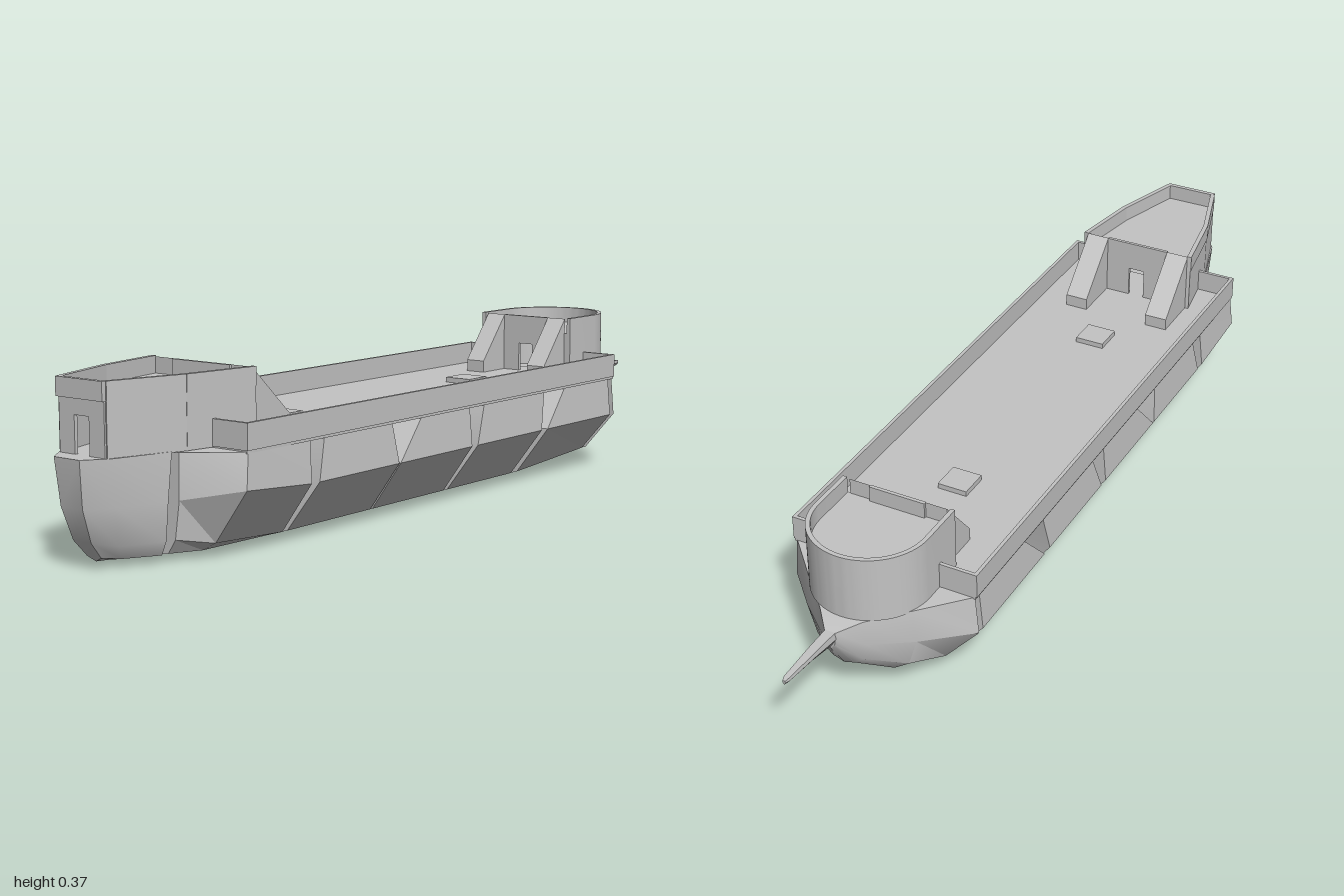
import * as THREE from 'three';
import { toCreasedNormals } from 'three/addons/utils/BufferGeometryUtils.js';

const grey = new THREE.MeshStandardMaterial({ color: 0xc4c4c4 });
grey.name = 'plain grey';

function add(parent, name, geometry) {
  const mesh = new THREE.Mesh(geometry, grey);
  mesh.name = name;
  parent.add(mesh);
  return mesh;
}

function box(parent, name, x0, x1, y0, y1, z0, z1) {
  const g = new THREE.BoxGeometry(x1 - x0, y1 - y0, z1 - z0);
  g.translate((x0 + x1) / 2, (y0 + y1) / 2, (z0 + z1) / 2);
  return add(parent, name, g);
}

// Closed solid through mirrored half sections [x, y, z], top edge to keel, front to back
function loft(halfRings, crease = 0.3) {
  const rings = halfRings.map(h => [...h, ...h.slice(0, -1).reverse().map(([x, y, z]) => [-x, y, z])]);
  const n = rings[0].length, pos = [];
  const quad = (a, b, c, d) => [a, b, c, a, c, d].forEach(p => pos.push(...p));
  for (let i = 0; i + 1 < rings.length; i++) {
    for (let j = 0; j < n; j++) {
      const k = (j + 1) % n;
      quad(rings[i][j], rings[i][k], rings[i + 1][k], rings[i + 1][j]);
    }
  }
  const f = rings[0], r = rings[rings.length - 1];
  for (let j = 0; j < (n - 1) / 2; j++) {
    const m = n - 1 - j;
    quad(f[j], f[m], f[m - 1], f[j + 1]);
    quad(r[j], r[j + 1], r[m - 1], r[m]);
  }
  const g = new THREE.BufferGeometry();
  g.setAttribute('position', new THREE.Float32BufferAttribute(pos, 3));
  g.computeVertexNormals();
  return toCreasedNormals(g, crease);
}

// Upright wall between two [x, z] points, with an optional doorway in the middle
function wall(parent, name, [xa, za], [xb, zb], y0, y1, door = 0, doorTop = 0, t = 0.008) {
  const len = Math.hypot(xb - xa, zb - za), m = len / 2;
  const pts = [[0, y0]];
  if (door) pts.push([m - door, y0], [m - door, doorTop], [m + door, doorTop], [m + door, y0]);
  pts.push([len, y0], [len, y1], [0, y1]);
  const shape = new THREE.Shape(pts.map(p => new THREE.Vector2(...p)));
  const g = new THREE.ExtrudeGeometry(shape, { depth: t, bevelEnabled: false });
  g.translate(0, 0, -t / 2);
  const mesh = add(parent, name, g);
  mesh.position.set(xa, 0, za);
  mesh.rotation.y = Math.atan2(za - zb, xb - xa);
}

// Plan shape (x, -z) raised from y0 to y1
function raised(shape, y0, y1) {
  const g = new THREE.ExtrudeGeometry(shape, { depth: y1 - y0, bevelEnabled: false, curveSegments: 28 });
  g.rotateX(-Math.PI / 2).translate(0, y0, 0);
  return toCreasedNormals(g, 0.5);
}

// Pair of sloping stair blocks, running from a cabin wall down to the deck
function ramps(parent, name, zTop, zFoot, yTop, xIn, xOut) {
  const shape = new THREE.Shape([[zTop, 0.23], [zFoot, 0.23], [zFoot, 0.26], [zTop, yTop]]
    .map(p => new THREE.Vector2(...p)));
  for (const x of [xOut, -xIn]) {
    const g = new THREE.ExtrudeGeometry(shape, { depth: xOut - xIn, bevelEnabled: false });
    g.rotateY(-Math.PI / 2);
    add(parent, name, g).position.x = x;
  }
}

export function createModel() {
  const ship = new THREE.Group();
  ship.name = 'ship';

  // Hull: separate blocks with slanted gaps between them
  const hull = new THREE.Group();
  hull.name = 'hull';
  ship.add(hull);
  const mid = [[0.212, 0.225], [0.22, 0.135], [0.14, 0.025], [0.1, 0.013], [0, 0.003]];
  const at = (zs, section = mid) => section.map(([x, y], i) => [x, y, zs[Math.min(i, zs.length - 1)]]);

  add(hull, 'bowBlock', loft([
    [[0.035, 0.228, 1], [0.03, 0.13, 0.99], [0.025, 0.06, 0.965], [0.02, 0.025, 0.935], [0, 0.015, 0.93]],
    [[0.072, 0.228, 0.95], [0.067, 0.13, 0.94], [0.055, 0.05, 0.92], [0.04, 0.02, 0.9], [0, 0.012, 0.895]],
    [[0.107, 0.228, 0.825], [0.105, 0.13, 0.835], [0.095, 0.05, 0.832], [0.08, 0.02, 0.83], [0, 0.01, 0.83]],
  ], 0.6));
  add(hull, 'shoulderBlock', loft([
    at([0.812], [[0.113, 0.225], [0.112, 0.13], [0.1, 0.05], [0.08, 0.02], [0, 0.008]]),
    at([0.725, 0.735], [[0.215, 0.225], [0.22, 0.15], [0.135, 0.035], [0.1, 0.016], [0, 0.005]]),
    at([0.535, 0.54]),
  ]));
  const blocks = [
    [[0.49, 0.515, 0.525], [0.265, 0.25]],
    [[0.16, 0.245, 0.243], [-0.018]],
    [[-0.075, -0.04, -0.032], [-0.32, -0.3, -0.29]],
  ];
  for (const [front, back] of blocks) add(hull, 'middleBlock', loft([at(front), at(back)]));
  const lifted = [[0.212, 0.225], [0.22, 0.135], [0.14, 0.043], [0.1, 0.032], [0, 0.024]];
  add(hull, 'quarterBlock', loft([at([-0.41, -0.325, -0.315]), at([-0.605], lifted)]));
  add(hull, 'sternBlock', loft([
    at([-0.622], lifted),
    at([-0.72], [[0.12, 0.225], [0.13, 0.15], [0.11, 0.085], [0.075, 0.06], [0, 0.048]]),
    at([-0.79], [[0.05, 0.222], [0.055, 0.165], [0.045, 0.125], [0.025, 0.108], [0, 0.1]]),
    at([-0.835], [[0.012, 0.212], [0.012, 0.198], [0.01, 0.183], [0.006, 0.176], [0, 0.17]]),
  ], 0.6));
  add(hull, 'tailSpike', loft([
    at([-0.82], [[0.012, 0.212], [0.014, 0.195], [0, 0.172]]),
    at([-0.9], [[0.01, 0.214], [0.011, 0.203], [0, 0.188]]),
    at([-0.99], [[0.006, 0.215], [0.007, 0.208], [0, 0.2]]),
    at([-1], [[0.003, 0.213], [0.003, 0.208], [0, 0.203]]),
  ]));

  // Main deck and its bulwarks
  box(ship, 'mainDeck', -0.215, 0.215, 0.222, 0.232, -0.625, 0.728);
  for (const s of [-1, 1]) {
    box(ship, 'sideBulwark', s * 0.214 - 0.004, s * 0.214 + 0.004, 0.228, 0.283, -0.625, 0.73);
    const [a, b] = s > 0 ? [0.124, 0.218] : [-0.218, -0.124];
    box(ship, 'frontBulwark', a, b, 0.228, 0.283, 0.722, 0.73);
    box(ship, 'rearBulwark', a, b, 0.228, 0.283, -0.625, -0.617);
  }
  for (const z of [0.385, -0.3]) box(ship, 'hatch', -0.035, 0.035, 0.232, 0.244, z - 0.035, z + 0.035);

  // Forecastle cabin: tapered walls, raised floor and rail
  const fore = new THREE.Group();
  fore.name = 'forecastle';
  ship.add(fore);
  const plan = [[0.14, 0.62], [0.112, 0.79], [0.062, 0.955]];
  for (const s of [-1, 1]) {
    for (let i = 0; i < 2; i++) {
      const a = [s * plan[i][0], plan[i][1]], b = [s * plan[i + 1][0], plan[i + 1][1]];
      wall(fore, 'sideWall', a, b, 0.226, 0.34);
      wall(fore, 'sideRail', a, b, 0.338, 0.377, 0, 0, 0.011);
    }
  }
  wall(fore, 'frontWall', [-0.062, 0.955], [0.062, 0.955], 0.226, 0.34, 0.02, 0.305);
  wall(fore, 'frontRail', [-0.064, 0.96], [0.064, 0.96], 0.338, 0.377, 0, 0, 0.011);
  wall(fore, 'backWall', [-0.14, 0.624], [0.14, 0.624], 0.226, 0.34, 0.02, 0.305);
  wall(fore, 'backRail', [-0.08, 0.624], [0.08, 0.624], 0.338, 0.375);
  const floor = new THREE.Shape([...plan, ...plan.slice().reverse().map(([x, z]) => [-x, z])]
    .map(([x, z]) => new THREE.Vector2(x, -z)));
  add(fore, 'upperDeck', raised(floor, 0.332, 0.34));
  ramps(fore, 'stairBlock', 0.622, 0.5, 0.375, 0.08, 0.135);

  // Poop cabin: rounded wall, raised floor and rail
  const poop = new THREE.Group();
  poop.name = 'poop';
  ship.add(poop);
  const R = 0.132, r = 0.122, zc = 0.662, zf = 0.555;
  const curved = new THREE.Shape();
  curved.moveTo(R, zf).lineTo(R, zc).absarc(0, zc, R, 0, Math.PI, false).lineTo(-R, zf)
    .lineTo(-r, zf).lineTo(-r, zc).absarc(0, zc, r, Math.PI, 0, true).lineTo(r, zf);
  add(poop, 'roundedWall', raised(curved, 0.222, 0.372));
  const round = new THREE.Shape();
  round.moveTo(r, zf).lineTo(r, zc).absarc(0, zc, r, 0, Math.PI, false).lineTo(-r, zf);
  add(poop, 'upperDeck', raised(round, 0.326, 0.334));
  wall(poop, 'frontWall', [-R, -0.559], [R, -0.559], 0.226, 0.334, 0.02, 0.3);
  wall(poop, 'frontRail', [-0.065, -0.559], [0.065, -0.559], 0.332, 0.37);
  ramps(poop, 'stairBlock', -0.557, -0.465, 0.37, 0.065, 0.115);

  return ship;
}
